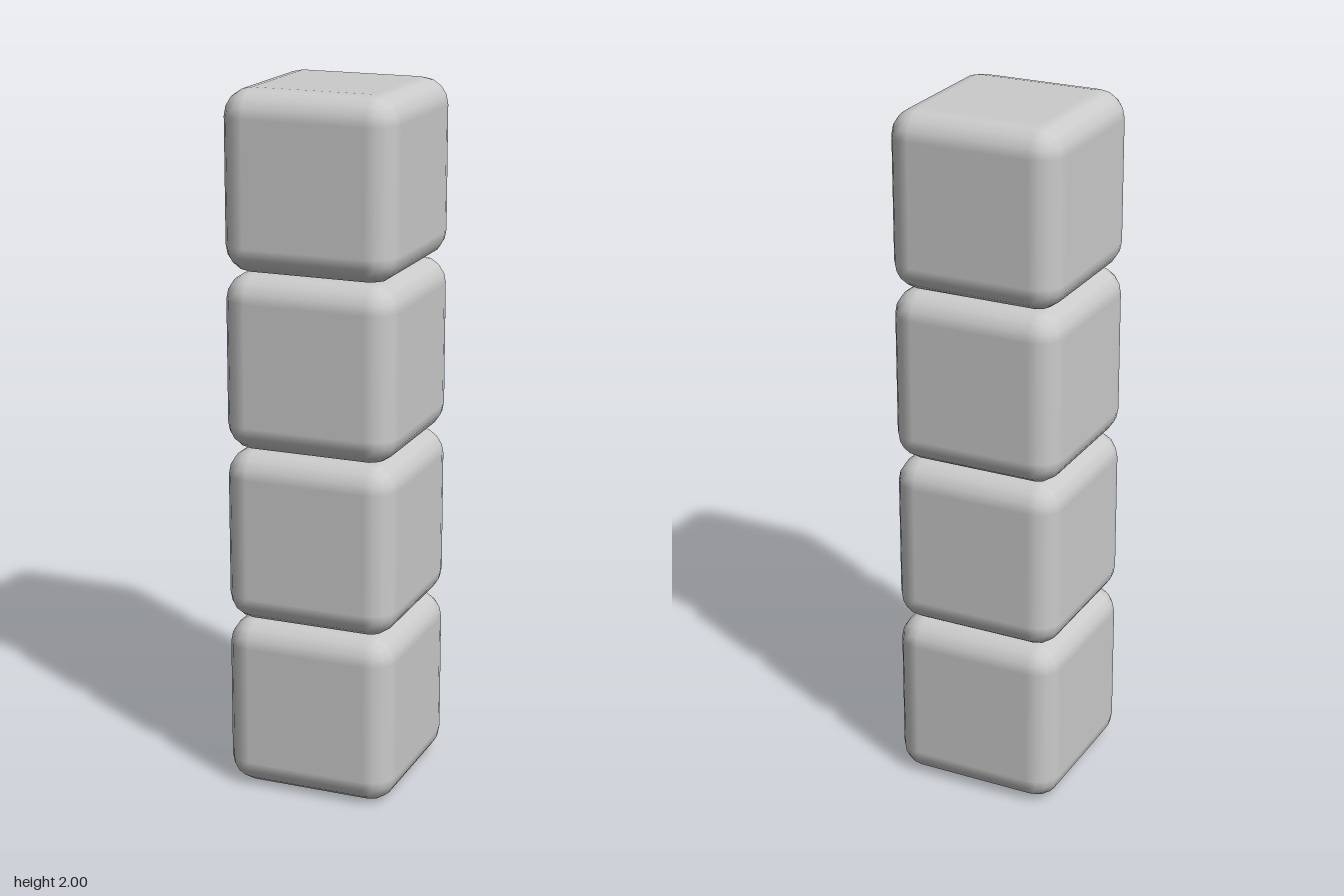
import * as THREE from 'three';

const SIZE = 0.5, RADIUS = 0.076, STEPS = 2; // STEPS: segments per half rounded edge

// Cube whose edges and corners are rounded in equal angular steps
function roundedCube(size, radius, steps) {
  const n = steps * 2 + 1;
  const geometry = new THREE.BoxGeometry(1, 1, 1, n, n, n);
  const { position, normal } = geometry.attributes;
  const inner = size / 2 - radius;
  // The middle grid cell is the flat face; the outer cells sweep up to 45 degrees
  const bend = (c) => {
    const step = Math.round((Math.abs(c) * n * 2 - 1) / 2);
    return Math.sign(c) * Math.tan((step / steps) * Math.PI / 4);
  };
  const p = new THREE.Vector3(), dir = new THREE.Vector3();
  for (let i = 0; i < position.count; i++) {
    p.fromBufferAttribute(position, i);
    dir.set(bend(p.x), bend(p.y), bend(p.z)).normalize();
    position.setXYZ(i,
      Math.sign(p.x) * inner + dir.x * radius,
      Math.sign(p.y) * inner + dir.y * radius,
      Math.sign(p.z) * inner + dir.z * radius);
    normal.setXYZ(i, dir.x, dir.y, dir.z);
  }
  return geometry;
}

export function createModel() {
  const model = new THREE.Group();
  model.name = 'blockTower';
  const material = new THREE.MeshStandardMaterial({ color: 0xcccccc });
  const geometry = roundedCube(SIZE, RADIUS, STEPS);

  // Four equal blocks stacked in a straight column
  for (let i = 0; i < 4; i++) {
    const block = new THREE.Mesh(geometry, material);
    block.name = `block${i + 1}`;
    block.position.y = SIZE * (i + 0.5);
    model.add(block);
  }
  return model;
}
